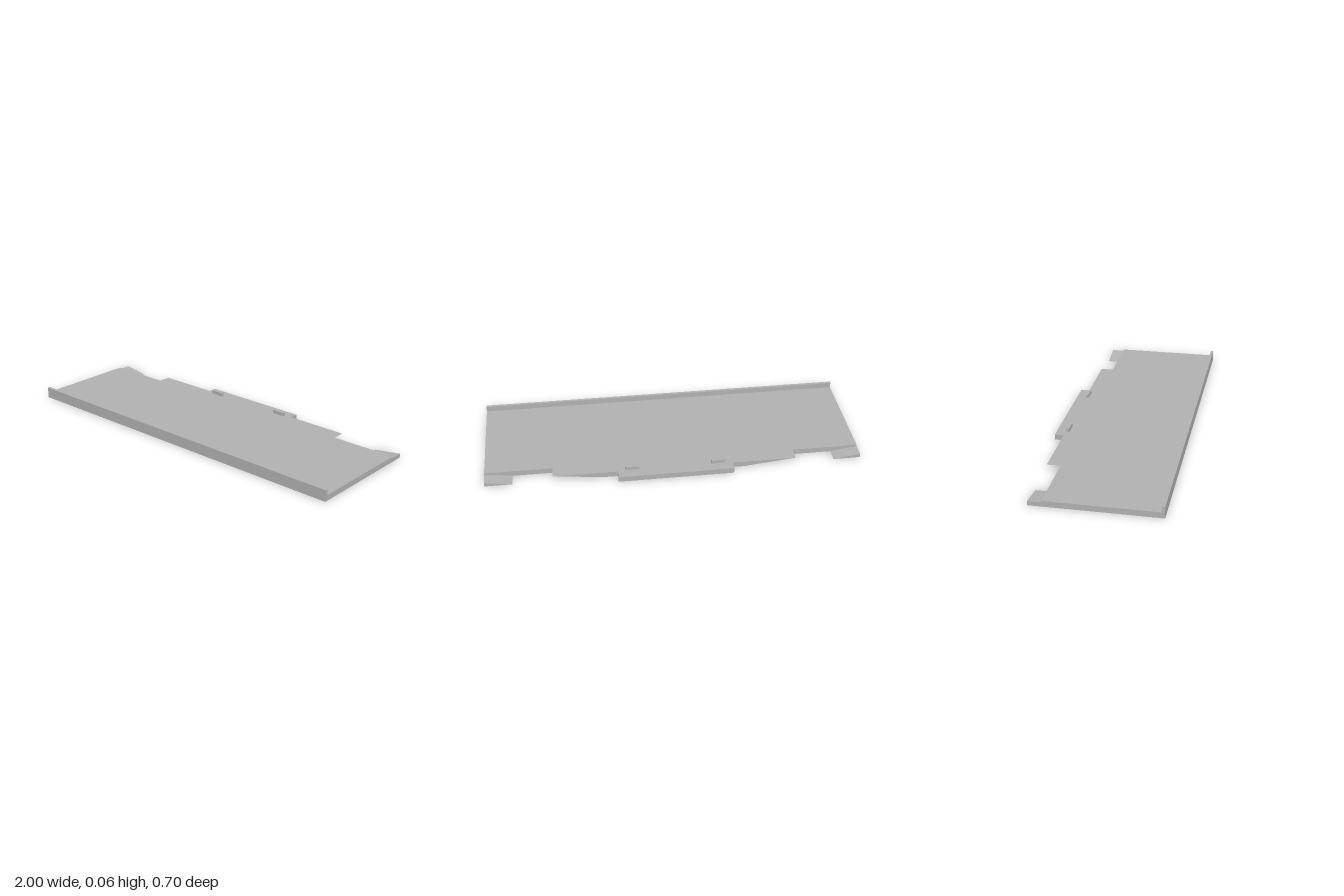
import * as THREE from 'three';

const gray = new THREE.MeshStandardMaterial({ color: 0xb0b0b0 });
gray.name = 'plain gray';

// Extrudes a closed x-y profile along z, from z0 to z1.
function prism(name, points, z0, z1) {
  const shape = new THREE.Shape(points.map(([x, y]) => new THREE.Vector2(x, y)));
  const geo = new THREE.ExtrudeGeometry(shape, { depth: z1 - z0, bevelEnabled: false });
  geo.translate(0, 0, z0);
  const mesh = new THREE.Mesh(geo, gray);
  mesh.name = name;
  return mesh;
}

function box(name, x0, x1, y0, y1, z0, z1) {
  const mesh = new THREE.Mesh(new THREE.BoxGeometry(x1 - x0, y1 - y0, z1 - z0), gray);
  mesh.position.set((x0 + x1) / 2, (y0 + y1) / 2, (z0 + z1) / 2);
  mesh.name = name;
  return mesh;
}

export function createModel() {
  const group = new THREE.Group();
  group.name = 'tray';
  const T = 0.03;

  // Flat plate with a stepped rear edge, extruded upward
  const plan = [
    [-1, -0.35], [1, -0.35], [1, 0.23], [0.305, 0.23], [0.305, 0.348],
    [-0.305, 0.348], [-0.305, 0.23], [-1, 0.23],
  ];
  const plate = prism('plate', plan, 0, T);
  plate.geometry.rotateX(-Math.PI / 2);
  group.add(plate);

  // Raised lip along the front
  group.add(box('frontLip', -1, 1, T, 0.06, 0.335, 0.35));

  for (const [side, s] of [['left', 1], ['right', -1]]) {
    // Rear flap: flat on top, its underside rising to a sharp outer edge
    group.add(prism(side + 'RearFlap',
      [[0.305 * s, 0], [0.365 * s, 0], [0.645 * s, T], [0.305 * s, T]], -0.3, -0.23));
    // Corner ramp: flat below, rising toward the outer end
    group.add(prism(side + 'CornerRamp',
      [[0.855 * s, 0], [s, 0], [s, 0.0215]], -0.3, -0.23));
    // Small upright stop near the rear edge
    const x = 0.228 * s;
    group.add(box(side + 'Stop', x - 0.037, x + 0.037, T, 0.05, -0.295, -0.28));
  }
  return group;
}
